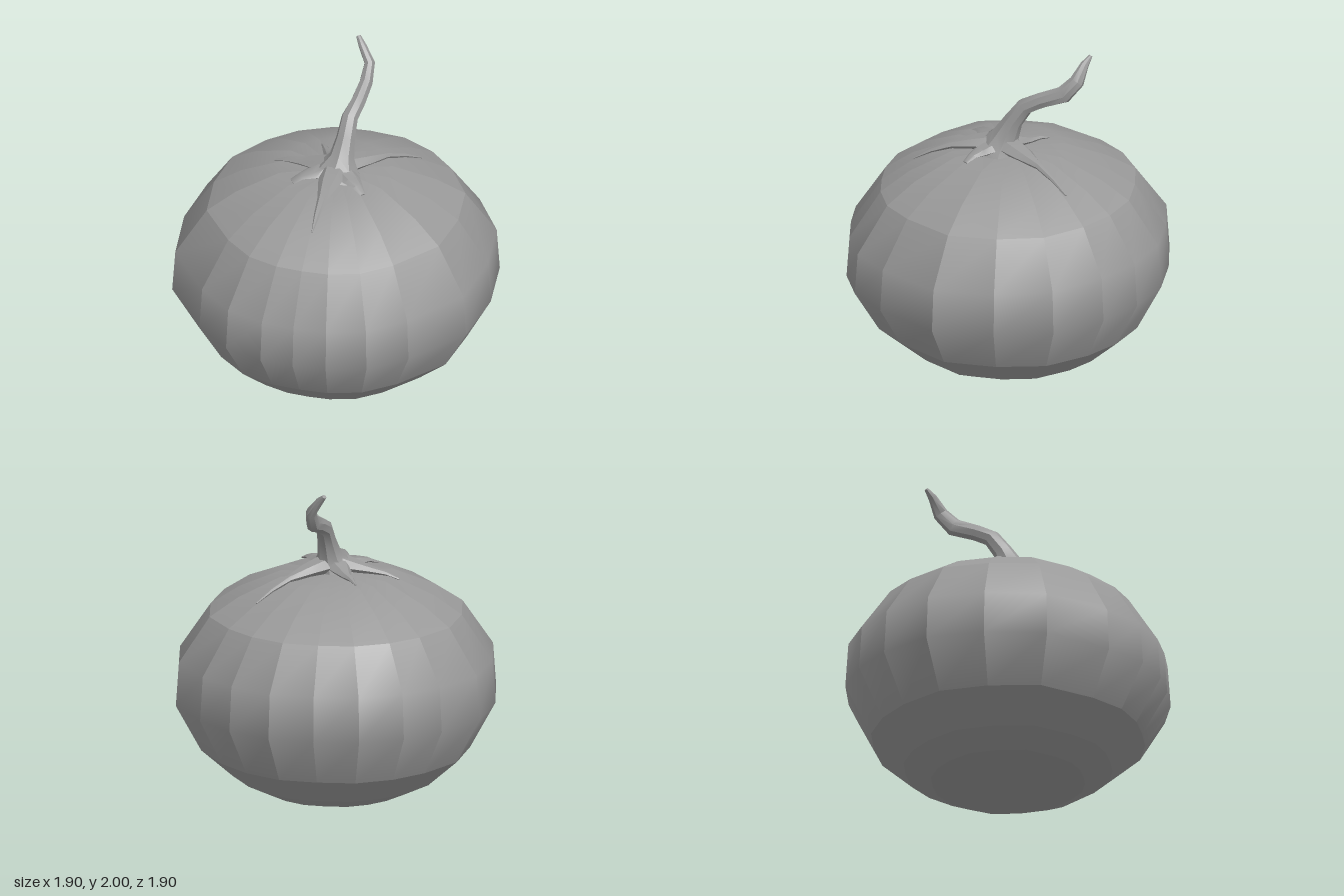
import * as THREE from 'three';
import { toCreasedNormals } from 'three/addons/utils/BufferGeometryUtils.js';

const grey = new THREE.MeshStandardMaterial({ color: 0x999999 });
grey.name = 'matte grey';

// Right half of the widest outline, from back to front: [x, z]
const half = [[0, -0.95], [0.27, -0.93], [0.52, -0.81], [0.72, -0.63], [0.905, -0.35],
  [0.948, 0], [0.9, 0.37], [0.64, 0.7], [0.43, 0.87], [0.2, 0.94], [0, 0.95]];
const outline = [...half, ...half.slice(1, -1).reverse().map(([x, z]) => [-x, z])];

// Rings from bottom to top: [radius, height, forward tilt]
const rings = [[0, 0, 0], [0.29, 0.004, 0], [0.45, 0.055, 0], [0.61, 0.14, 0], [0.8, 0.315, 0.005],
  [0.95, 0.595, 0.025], [0.932, 0.86, 0.035], [0.75, 1.135, 0.025], [0.58, 1.25, 0.01],
  [0.33, 1.36, 0], [0, 1.37, 0]];

// Bands of rings that shade smoothly upwards; everything else is a hard edge
const bands = [[0, 1], [1, 2], [2, 3], [3, 4], [4, 5, 6, 7], [7, 8, 9, 10]];

function bodyGeometry() {
  const pos = [], index = [];
  outline.forEach((a, j) => {
    const b = outline[(j + 1) % outline.length];
    for (const band of bands) {
      const start = pos.length / 3;
      band.forEach((r, i) => {
        const [rad, y, tilt] = rings[r], s = rad / 0.95;
        for (const [x, z] of [a, b]) pos.push(x * s, y - tilt * z * s, z * s);
        if (i === 0) return;
        const k = start + (i - 1) * 2;
        index.push(k, k + 2, k + 1, k + 1, k + 2, k + 3);
      });
    }
  });
  const geo = new THREE.BufferGeometry();
  geo.setAttribute('position', new THREE.Float32BufferAttribute(pos, 3));
  geo.setIndex(index);
  geo.computeVertexNormals();
  return geo;
}

// Loft elliptical sections [x, y, z, halfWidth, halfHeight] along a path
function loft(sections, side, sides) {
  const pos = [], index = [];
  const pts = sections.map((s) => new THREE.Vector3(s[0], s[1], s[2]));
  const last = pts.length - 1;
  sections.forEach((s, i) => {
    const t = pts[Math.min(i + 1, last)].clone().sub(pts[Math.max(i - 1, 0)]).normalize();
    const a = side.clone().addScaledVector(t, -side.dot(t)).normalize();
    const b = t.clone().cross(a);
    for (let j = 0; j < sides; j++) {
      const u = (j / sides) * Math.PI * 2;
      const p = pts[i].clone().addScaledVector(a, Math.cos(u) * s[3]).addScaledVector(b, Math.sin(u) * s[4]);
      pos.push(p.x, p.y, p.z);
      if (i === last) continue;
      const k = i * sides + j, n = i * sides + (j + 1) % sides;
      index.push(k, n, k + sides, n, n + sides, k + sides);
    }
  });
  // End cap
  for (let j = 1; j < sides - 1; j++) index.push(last * sides, last * sides + j, last * sides + j + 1);
  const geo = new THREE.BufferGeometry();
  geo.setAttribute('position', new THREE.Float32BufferAttribute(pos, 3));
  geo.setIndex(index);
  return toCreasedNormals(geo, 0.6);
}

export function createModel() {
  const model = new THREE.Group();
  model.name = 'pumpkin';
  const add = (name, geo) => {
    const mesh = new THREE.Mesh(geo, grey);
    mesh.name = name;
    model.add(mesh);
  };

  add('body', bodyGeometry());

  // Curved stem, flaring at its foot and bending backwards
  add('stem', loft([
    [0.02, 1.35, 0.05, 0.17, 0.14], [0.03, 1.41, 0.035, 0.12, 0.11], [0.04, 1.47, 0.01, 0.075, 0.08],
    [0.05, 1.57, -0.035, 0.057, 0.058], [0.055, 1.67, -0.105, 0.05, 0.052],
    [0.08, 1.725, -0.2, 0.045, 0.05], [0.09, 1.775, -0.335, 0.04, 0.055],
    [0.09, 1.865, -0.415, 0.032, 0.045], [0.035, 1.95, -0.455, 0.024, 0.026],
    [0.0, 1.993, -0.488, 0.014, 0.012],
  ], new THREE.Vector3(1, 0, 0), 8));

  // Leafy points around the foot: [tipX, tipY, tipZ, middle height, middle width, tip width]
  const sepals = [
    [0.01, 1.272, 0.56, 1.375, 0.032, 0.004],
    [0.42, 1.275, -0.38, 1.375, 0.022, 0.004],
    [-0.38, 1.345, -0.02, 1.385, 0.035, 0.008],
    [-0.15, 1.365, -0.23, 1.38, 0.03, 0.005],
    [0.2, 1.365, -0.13, 1.385, 0.035, 0.006],
    [-0.21, 1.37, 0.21, 1.4, 0.06, 0.03],
    [0.23, 1.37, 0.235, 1.4, 0.055, 0.018],
  ];
  for (const [x, y, z, midY, midW, tipW] of sepals) {
    const cx = 0.02, cz = 0.04, dx = x - cx, dz = z - cz;
    const at = (f, h, w, t) => [cx + dx * f, h, cz + dz * f, w, t];
    add('sepal', loft([
      at(0.15, 1.41, 0.08, 0.05), at(0.35, 1.4, 0.065, 0.035),
      at(0.58, midY, midW, 0.022), at(0.8, (midY + y) / 2 + 0.008, midW * 0.6, 0.013), at(1, y, tipW, 0.005),
    ], new THREE.Vector3(dz, 0, -dx).normalize(), 6));
  }
  return model;
}
